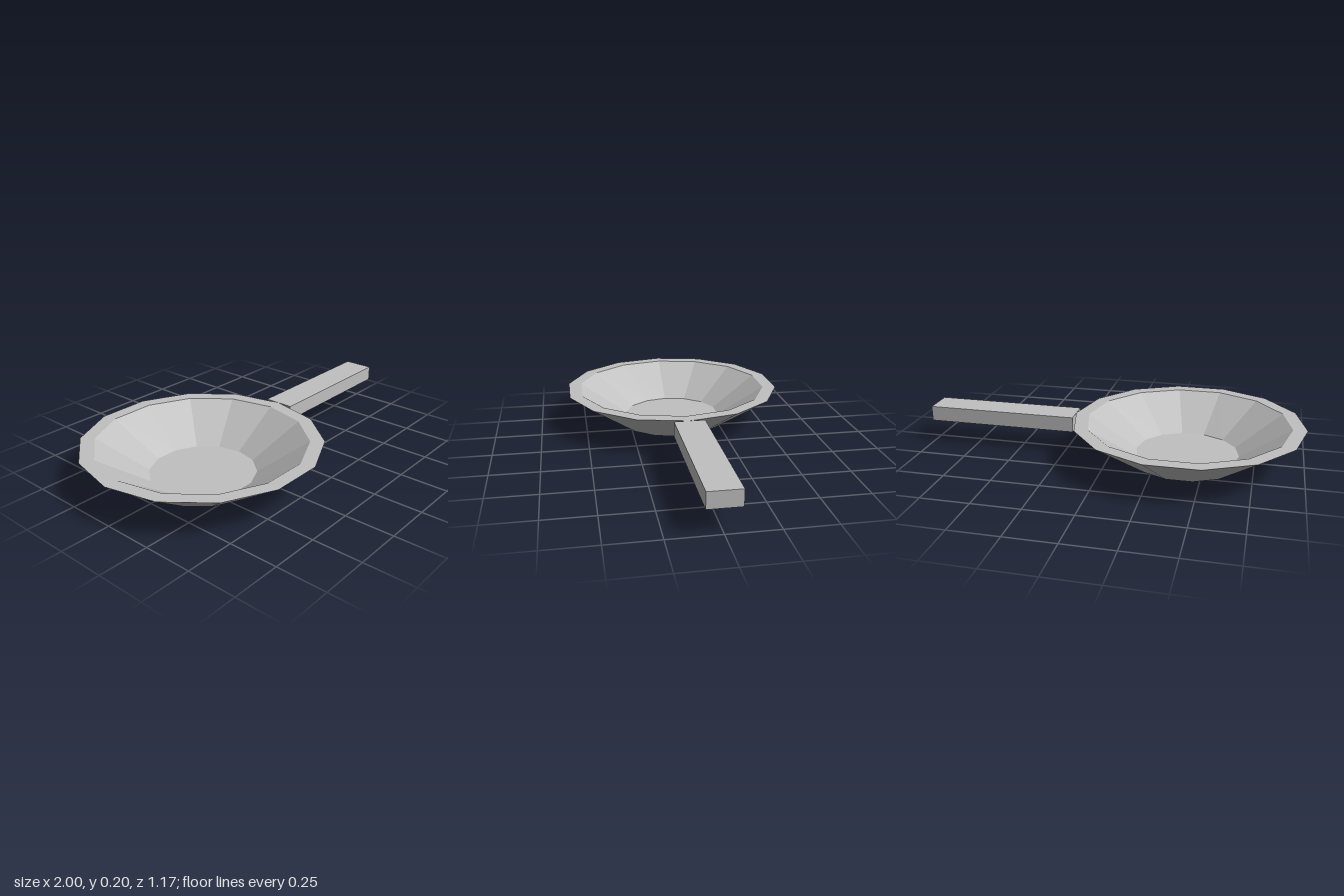
import * as THREE from 'three';

export function createModel() {
  const model = new THREE.Group();
  model.name = 'fryingPan';

  const metal = new THREE.MeshStandardMaterial({ color: 0xc0c0c0, flatShading: true });
  metal.name = 'lightGreyMetal';

  // Fourteen-sided bowl: outer base, sloped wall, flat rim, inner wall and floor
  const profile = [
    [0, 0], [0.3, 0], [0.6, 0.2], [0.528, 0.2], [0.27, 0.03], [0, 0.03],
  ].map(([r, y]) => new THREE.Vector2(r, y));
  const bowl = new THREE.Mesh(new THREE.LatheGeometry(profile, 14, Math.PI / 2), metal);
  bowl.name = 'bowl';
  bowl.position.x = -0.4;
  model.add(bowl);

  // Straight square handle meeting the rim at one corner
  const handle = new THREE.Mesh(new THREE.BoxGeometry(0.8, 0.08, 0.16), metal);
  handle.name = 'handle';
  handle.position.set(0.6, 0.16, 0);
  model.add(handle);

  return model;
}
